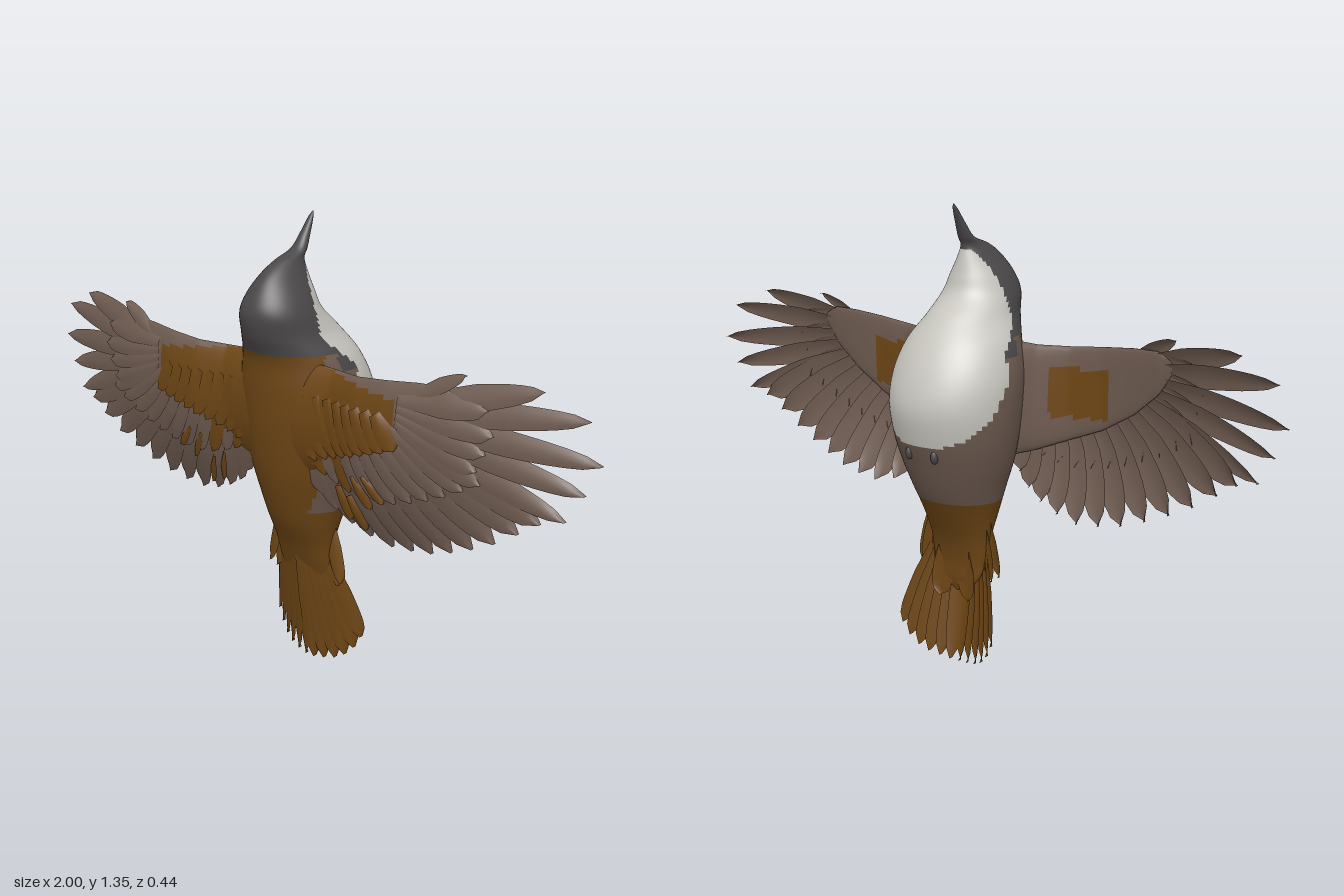
import * as THREE from 'three';
import { mergeGeometries } from 'three/addons/utils/BufferGeometryUtils.js';

const flat = (name, color) => {
  const m = new THREE.MeshStandardMaterial({ color, side: THREE.DoubleSide });
  m.name = name;
  return m;
};
const DARK = 0, WHITE = 1, BROWN = 2, RUST = 3;

// Linear lookup in a table of [key, value...] rows with rising keys
function at(table, k, col = 1) {
  if (k <= table[0][0]) return table[0][col];
  for (let i = 1; i < table.length; i++) {
    const a = table[i - 1], b = table[i];
    if (k <= b[0]) return a[col] + (b[col] - a[col]) * (k - a[0]) / (b[0] - a[0]);
  }
  return table[table.length - 1][col];
}

// Closed tube through rings; every quad goes to the material picked by pick(centre)
function loft(rings, pick) {
  const n = rings[0].length, pos = [], buckets = [[], [], [], []];
  rings.forEach(r => r.forEach(p => pos.push(p.x, p.y, p.z)));
  for (let i = 0; i < rings.length - 1; i++) {
    for (let j = 0; j < n; j++) {
      const k = (j + 1) % n;
      const mid = rings[i][j].clone().add(rings[i + 1][k]).multiplyScalar(0.5);
      const a = i * n + j, b = i * n + k, c = a + n, d = b + n;
      buckets[pick(mid)].push(a, c, b, b, c, d);
    }
  }
  const g = new THREE.BufferGeometry();
  g.setAttribute('position', new THREE.Float32BufferAttribute(pos, 3));
  g.setIndex(buckets.flat());
  let start = 0;
  buckets.forEach((b, m) => {
    if (b.length) g.addGroup(start, b.length, m);
    start += b.length;
  });
  g.computeVertexNormals();
  return g;
}

// Thin ridged feather from base to tip, laid on the surface z = surf(x, y)
function feather(base, tip, half, surf, { lift = 0, sharp = 8, tilt = 0.006, s = 1 } = {}) {
  const g = new THREE.PlaneGeometry(1, 1, 4, 12), p = g.attributes.position;
  const dx = tip[0] - base[0], dy = tip[1] - base[1], len = Math.hypot(dx, dy);
  for (let i = 0; i < p.count; i++) {
    const across = p.getX(i) * 2, t = p.getY(i) + 0.5;
    const w = half * (0.5 + 0.5 * Math.min(1, t * 2)) * Math.pow(Math.max(0, 1 - t ** sharp), 0.6);
    const x = base[0] + dx * t + across * w * dy / len;
    const y = base[1] + dy * t - across * w * dx / len;
    const z = surf(x, y) + lift + tilt * across + 0.005 * (1 - across * across);
    p.setXYZ(i, s * x, y, z);
  }
  g.computeVertexNormals();
  return g;
}

// Body stations from tail root to bill tip: y, half width, z of back, z of belly
const BODY = [
  [0.22, 0.002, -0.015, -0.02], [0.26, 0.07, 0.0, -0.03], [0.32, 0.092, 0.022, -0.035],
  [0.39, 0.102, 0.05, -0.055], [0.47, 0.12, 0.09, -0.095], [0.55, 0.143, 0.118, -0.138],
  [0.63, 0.168, 0.14, -0.172], [0.71, 0.184, 0.155, -0.2], [0.8, 0.192, 0.167, -0.215],
  [0.885, 0.189, 0.173, -0.195], [0.97, 0.165, 0.178, -0.15], [1.04, 0.125, 0.208, -0.092],
  [1.1, 0.106, 0.22, -0.028], [1.15, 0.084, 0.203, -0.008], [1.2, 0.052, 0.165, 0.004],
  [1.235, 0.031, 0.113, 0.01], [1.26, 0.023, 0.045, -0.001], [1.3, 0.015, 0.01, -0.018],
  [1.34, 0.008, -0.02, -0.033], [1.356, 0.001, -0.034, -0.037]
];
// Edge of the white bib: y, z
const BIB = [[0.7, -0.18], [0.77, -0.105], [0.86, -0.04], [0.96, -0.015], [1.03, 0.07],
  [1.12, 0.065], [1.18, 0.05], [1.23, 0.018]];

function bodyColour({ y, z }) {
  if (y > 0.7 && y < 1.225 && z < at(BIB, y)) return WHITE;
  if (y > 0.985 || (y > 0.94 && z < 0.04)) return DARK;
  return y < 0.51 || z > 0.08 ? RUST : BROWN;
}

function bodyGeometry() {
  const spline = col => new THREE.CatmullRomCurve3(
    BODY.map(r => new THREE.Vector3(r[1], r[0], r[col])), false, 'catmullrom', 0.5);
  const back = spline(2), belly = spline(3), rings = [];
  for (let i = 0; i <= 150; i++) {
    const a = back.getPoint(i / 150), b = belly.getPoint(i / 150), ring = [];
    for (let j = 0; j < 72; j++) {
      const q = j / 72 * Math.PI * 2;
      ring.push(new THREE.Vector3(a.x * Math.cos(q), a.y,
        (a.z + b.z) / 2 + (a.z - b.z) / 2 * Math.sin(q)));
    }
    rings.push(ring);
  }
  return loft(rings, bodyColour);
}

// Cambered wing surface
const CREST = [[0.1, 0.12], [0.2, 0.115], [0.3, 0.138], [0.4, 0.142], [0.6, 0.122], [0.8, 0.085], [1, 0.036]];
function wingZ(x, y) {
  const k = Math.min(1, ((y - 0.85) / 0.38) ** 2);
  return 0.04 + (at(CREST, x) - 0.04) * (1 - k);
}

// Wing arm stations: x, leading y, trailing y, half thickness
const ARM = [[0.08, 0.97, 0.62, 0.05], [0.2, 0.965, 0.66, 0.032], [0.3, 0.968, 0.7, 0.024],
  [0.4, 0.978, 0.74, 0.019], [0.5, 0.988, 0.8, 0.013], [0.58, 0.99, 0.87, 0.008], [0.62, 0.965, 0.93, 0.001]];

function armGeometry(s) {
  const rings = [];
  for (let i = 0; i <= 60; i++) {
    const x = 0.08 + 0.54 * i / 60, top = at(ARM, x, 1), low = at(ARM, x, 2), th = at(ARM, x, 3), ring = [];
    for (let j = 0; j < 40; j++) {
      const q = j / 40 * Math.PI * 2;
      const y = (top + low) / 2 + (top - low) / 2 * Math.cos(q);
      ring.push(new THREE.Vector3(s * x, y, wingZ(x, y) - th * 0.4 - s * th * Math.sin(q)));
    }
    rings.push(ring);
  }
  return loft(rings, p => {
    const x = Math.abs(p.x), mid = wingZ(x, p.y) - at(ARM, x, 3) * 0.4;
    if (p.z > mid) return x < 0.44 && p.y < 0.985 - 0.12 * x ? RUST : BROWN;
    return x > 0.24 && x < 0.42 && p.y > 0.77 && p.y < 0.91 ? RUST : BROWN;
  });
}

// Flight feather tips from the leading edge inward
const PRIMARIES = [[0.635, 1.027], [0.845, 1.018], [0.965, 0.962], [1, 0.855], [0.962, 0.772], [0.915, 0.695]];
const SECONDARIES = [[0.85, 0.675], [0.79, 0.635], [0.72, 0.59], [0.65, 0.555], [0.58, 0.525], [0.51, 0.5],
  [0.44, 0.487], [0.37, 0.48], [0.3, 0.495], [0.24, 0.52], [0.19, 0.55], [0.15, 0.59]];

function buildWing(s, mats) {
  const wing = new THREE.Group();
  wing.name = s > 0 ? 'leftWing' : 'rightWing';
  const add = (name, geo, mat) => {
    const m = new THREE.Mesh(geo, mat);
    m.name = name;
    wing.add(m);
  };
  add('wingArm', armGeometry(s), mats);

  const primaries = PRIMARIES.map((tip, i) =>
    feather([0.47 + (i < 2 ? 0.02 : 0), 0.955 - i * 0.018], tip, i ? 0.036 : 0.022, wingZ, { sharp: 3.5, s }));
  add('primaryFeathers', mergeGeometries(primaries), mats[BROWN]);

  const secondaries = [], coverts = [], rustCoverts = [], rustShoulder = [];
  SECONDARIES.forEach((tip, i) => {
    const f = i / (SECONDARIES.length - 1), base = [0.46 - 0.34 * f, 0.87 - 0.05 * f];
    secondaries.push(feather(base, tip, 0.047, wingZ, { s, sharp: 6 }));
    // Shorter coverts overlapping the flight feathers
    const end = [base[0] + (tip[0] - base[0]) * 0.6, base[1] + (tip[1] - base[1]) * 0.6];
    (i === 8 || i >= 10 ? rustCoverts : coverts)
      .push(feather(base, end, 0.034, wingZ, { lift: 0.007, s }));
  });
  PRIMARIES.slice(2).forEach((tip, i) => {
    const base = [0.45, 0.94 - i * 0.02];
    coverts.push(feather(base, [base[0] + (tip[0] - base[0]) * 0.5, base[1] + (tip[1] - base[1]) * 0.5],
      0.032, wingZ, { lift: 0.007, s }));
  });
  // Rust shoulder feathers
  for (let i = 0; i < 9; i++) {
    const x = 0.14 + 0.037 * i;
    rustShoulder.push(feather([x - 0.05, 0.89], [x + 0.012, 0.7 + 0.0125 * i], 0.032, wingZ, { lift: 0.015, s }));
  }
  // Rust edges on the inner flight feathers
  [[0.29, 0.69, 0.34, 0.6], [0.33, 0.7, 0.39, 0.63], [0.22, 0.64, 0.25, 0.54], [0.26, 0.62, 0.3, 0.52]].forEach(q =>
    rustCoverts.push(feather([q[0], q[1]], [q[2], q[3]], 0.016, wingZ, { lift: 0.011, s })));
  add('secondaryFeathers', mergeGeometries(secondaries), mats[BROWN]);
  add('wingCoverts', mergeGeometries(coverts), mats[BROWN]);
  add('innerCoverts', mergeGeometries(rustCoverts), mats[RUST]);
  add('shoulderFeathers', mergeGeometries(rustShoulder), mats[RUST]);
  return wing;
}

// Fanned tail, outer feathers lying behind the middle ones
function tailGeometry() {
  const tips = [[0.016, 0.003], [0.05, 0.008], [0.085, 0.016], [0.115, 0.032], [0.142, 0.06], [0.163, 0.098]];
  const surf = (x, y) => 0.03 - 0.16 * (0.38 - y) - 0.045 * Math.min(1, (x / 0.17) ** 2);
  const parts = [];
  for (const s of [1, -1]) {
    tips.forEach((tip, i) => parts.push(
      feather([0.008 + 0.013 * i, 0.4], tip, 0.026, surf, { s, tilt: 0.007, lift: -0.003 * i })));
    // Side and undertail coverts
    parts.push(feather([0.085, 0.5], [0.14, 0.285], 0.022, () => -0.005, { s }));
    parts.push(feather([0.08, 0.48], [0.12, 0.27], 0.024, () => -0.015, { s }));
    parts.push(feather([0.03, 0.38], [0.05, 0.2], 0.035, (x, y) => -0.03 - 0.04 * (0.38 - y), { s }));
  }
  return mergeGeometries(parts);
}

export function createModel() {
  const mats = [flat('charcoal', 0x4b484a), flat('paleGrey', 0xc8c6bf),
    flat('greyBrown', 0x6e5b50), flat('rust', 0x6e4615)];
  const bird = new THREE.Group();
  bird.name = 'flyingBird';
  const body = new THREE.Mesh(bodyGeometry(), mats);
  body.name = 'body';
  const tail = new THREE.Mesh(tailGeometry(), mats[RUST]);
  tail.name = 'tail';
  bird.add(body, tail, buildWing(1, mats), buildWing(-1, mats));
  // Small tucked feet
  for (const s of [1, -1]) {
    const foot = new THREE.Mesh(new THREE.SphereGeometry(0.014, 12, 8), mats[DARK]);
    foot.name = s > 0 ? 'leftFoot' : 'rightFoot';
    foot.scale.set(0.8, 1.5, 1);
    foot.position.set(s * 0.045, 0.67, -0.179);
    bird.add(foot);
  }
  return bird;
}
